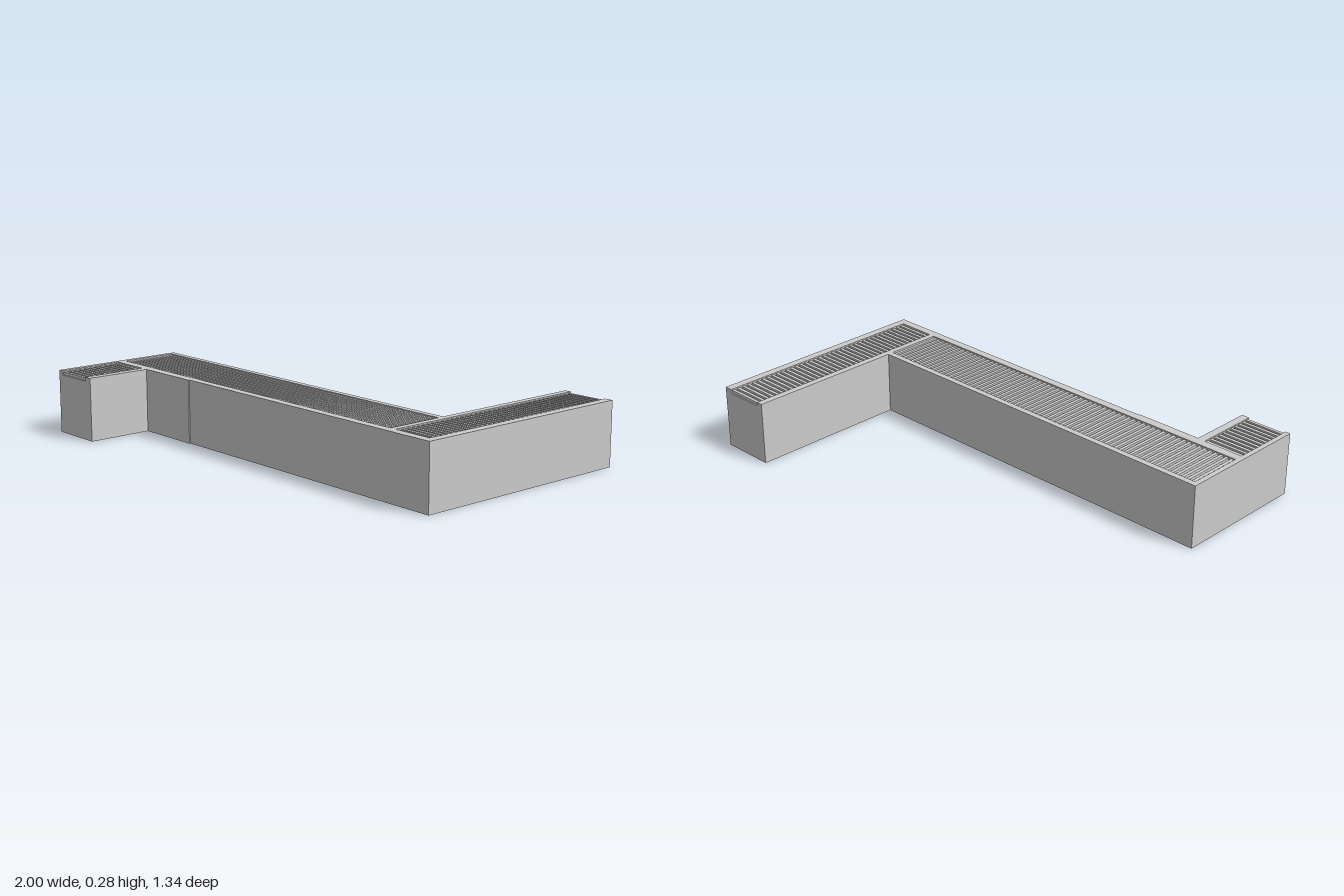
import * as THREE from 'three';

const TOP = 0.28, FLOOR = 0.262, BAR_TOP = 0.275;
const material = new THREE.MeshStandardMaterial({ color: 0xcccccc, flatShading: true });

// Closed plan outline from [x, z] points
const plan = (points) => new THREE.Shape(points.map(([x, z]) => new THREE.Vector2(x, -z)));

// Plan shape raised from y0 to y1
function slab(name, shape, y0, y1) {
  const geometry = new THREE.ExtrudeGeometry(shape, { depth: y1 - y0, bevelEnabled: false });
  geometry.rotateX(-Math.PI / 2).translate(0, y0, 0);
  const mesh = new THREE.Mesh(geometry, material);
  mesh.name = name;
  return mesh;
}

// Row of slats lying across a channel, spaced along the given axis
function grate(name, x0, x1, z0, z1, axis, count) {
  const group = new THREE.Group();
  group.name = name;
  const along = axis === 'x';
  const pitch = (along ? x1 - x0 : z1 - z0) / count;
  const width = pitch * 0.55, height = BAR_TOP - FLOOR;
  const geometry = new THREE.BoxGeometry(along ? width : x1 - x0, height, along ? z1 - z0 : width);
  for (let i = 0; i < count; i++) {
    const bar = new THREE.Mesh(geometry, material);
    const offset = (i + 0.5) * pitch;
    bar.name = 'slat';
    bar.position.set(
      along ? x0 + offset : (x0 + x1) / 2,
      FLOOR + height / 2,
      along ? (z0 + z1) / 2 : z0 + offset
    );
    group.add(bar);
  }
  return group;
}

export function createModel() {
  const model = new THREE.Group();
  model.name = 'channelRun';

  // Solid body: long middle run, short front arm and long back arm
  const body = plan([
    [-1, 0.67], [-0.757, 0.67], [-0.757, 0.375], [-0.45, 0.375], [-0.45, 0.37], [1, 0.37],
    [1, -0.672], [0.753, -0.672], [0.753, 0.05], [-1, 0.05]
  ]);
  model.add(slab('body', body, 0, FLOOR));

  // Raised rim, with the two arm channels open at their far ends
  const rim = plan([
    [-1, 0.67], [-0.977, 0.67], [-0.977, 0.373], [-0.793, 0.373], [-0.793, 0.67], [-0.757, 0.67],
    [-0.757, 0.375], [-0.45, 0.375], [-0.45, 0.37], [1, 0.37], [1, -0.672], [0.963, -0.672],
    [0.963, 0.333], [0.783, 0.333], [0.783, -0.672], [0.753, -0.672], [0.753, 0.05], [-1, 0.05]
  ]);
  rim.holes.push(plan([[-0.977, 0.077], [0.755, 0.077], [0.755, 0.333], [-0.977, 0.333]]));
  model.add(slab('rim', rim, FLOOR, TOP));

  // Slatted grates in the channels
  model.add(grate('middleGrate', -0.977, 0.755, 0.077, 0.333, 'x', 65));
  model.add(grate('backArmGrate', 0.783, 0.963, -0.672, 0.333, 'z', 38));
  model.add(grate('frontArmGrate', -0.977, -0.793, 0.373, 0.67, 'z', 11));
  return model;
}
